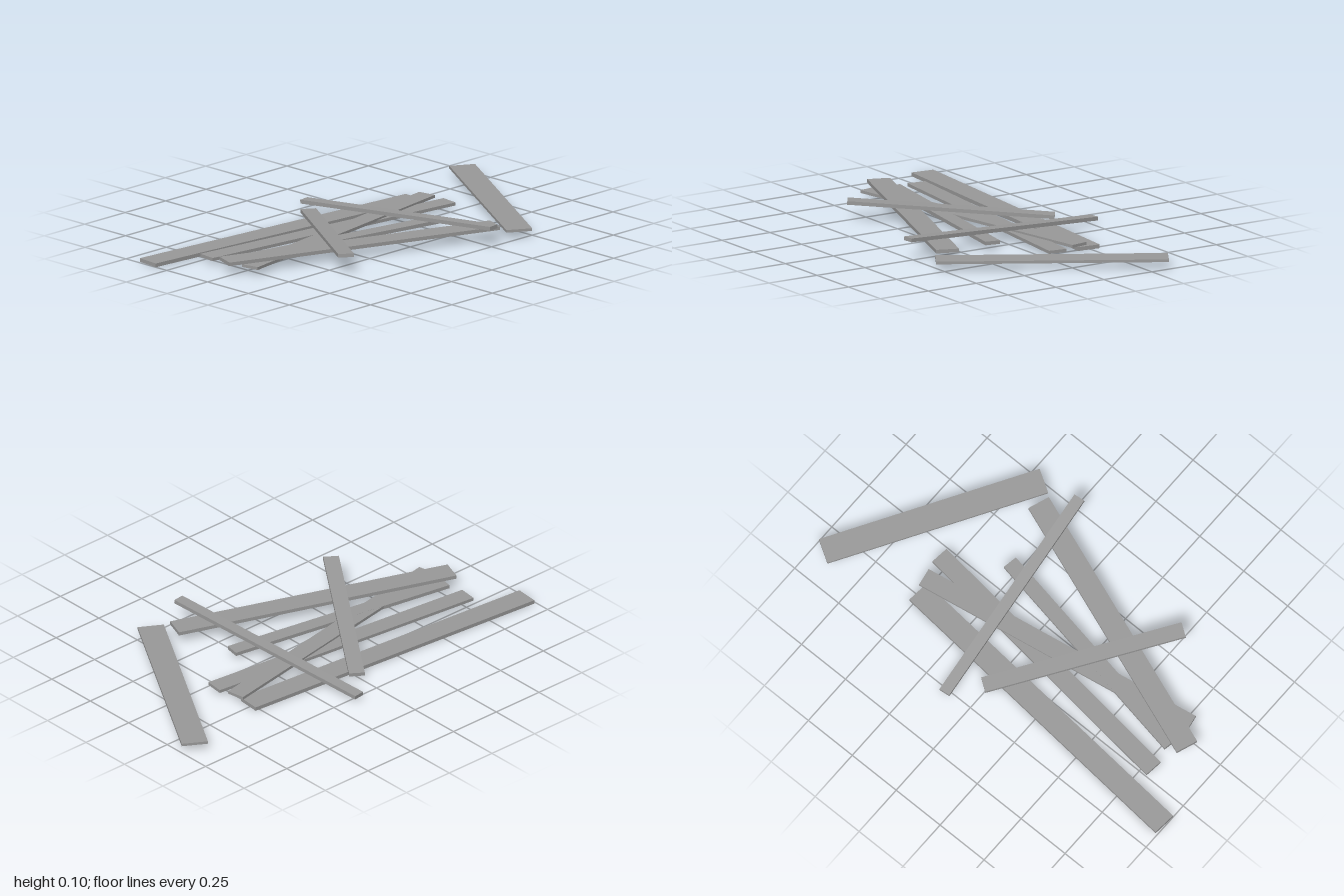
import * as THREE from 'three';

const material = new THREE.MeshStandardMaterial({ color: 0x999999, flatShading: true });

// Flat board running between the centres of its two end faces
function board(name, start, end, width, thickness) {
  const a = new THREE.Vector3(...start);
  const b = new THREE.Vector3(...end);
  const along = b.clone().sub(a);
  const length = along.length();
  along.normalize();
  const side = new THREE.Vector3().crossVectors(along, new THREE.Vector3(0, 1, 0)).normalize();
  const up = new THREE.Vector3().crossVectors(side, along);
  const mesh = new THREE.Mesh(new THREE.BoxGeometry(length, thickness, width), material);
  mesh.quaternion.setFromRotationMatrix(new THREE.Matrix4().makeBasis(along, up, side));
  mesh.position.copy(a).add(b).multiplyScalar(0.5);
  mesh.name = name;
  return mesh;
}

export function createModel() {
  const group = new THREE.Group();
  group.name = 'plankPile';

  group.add(
    // Boards lying flat, from the ground up
    board('bottomPlank', [-0.995, 0.009, -0.371], [0.517, 0.009, -0.24], 0.107, 0.017),
    board('middlePlank', [-0.796, 0.025, -0.208], [0.551, 0.025, -0.056], 0.085, 0.014),
    board('shortPlank', [-0.782, 0.033, -0.077], [0.294, 0.033, 0.114], 0.068, 0.016),
    board('crossingPlank', [-0.79, 0.034, 0.051], [0.536, 0.034, -0.179], 0.083, 0.013),
    board('separatePlank', [0.947, 0.037, -0.371], [0.424, 0.037, 0.497], 0.116, 0.012),
    board('frontPlank', [-0.849, 0.052, -0.046], [0.372, 0.052, 0.4], 0.102, 0.016),

    // Narrow boards leaning across the pile
    board('leaningBatten', [0.018, 0.028, -0.392], [-0.497, 0.087, 0.349], 0.069, 0.016),
    board('topBatten', [0.126, 0.023, -0.526], [0.242, 0.094, 0.521], 0.051, 0.017),
  );
  return group;
}
